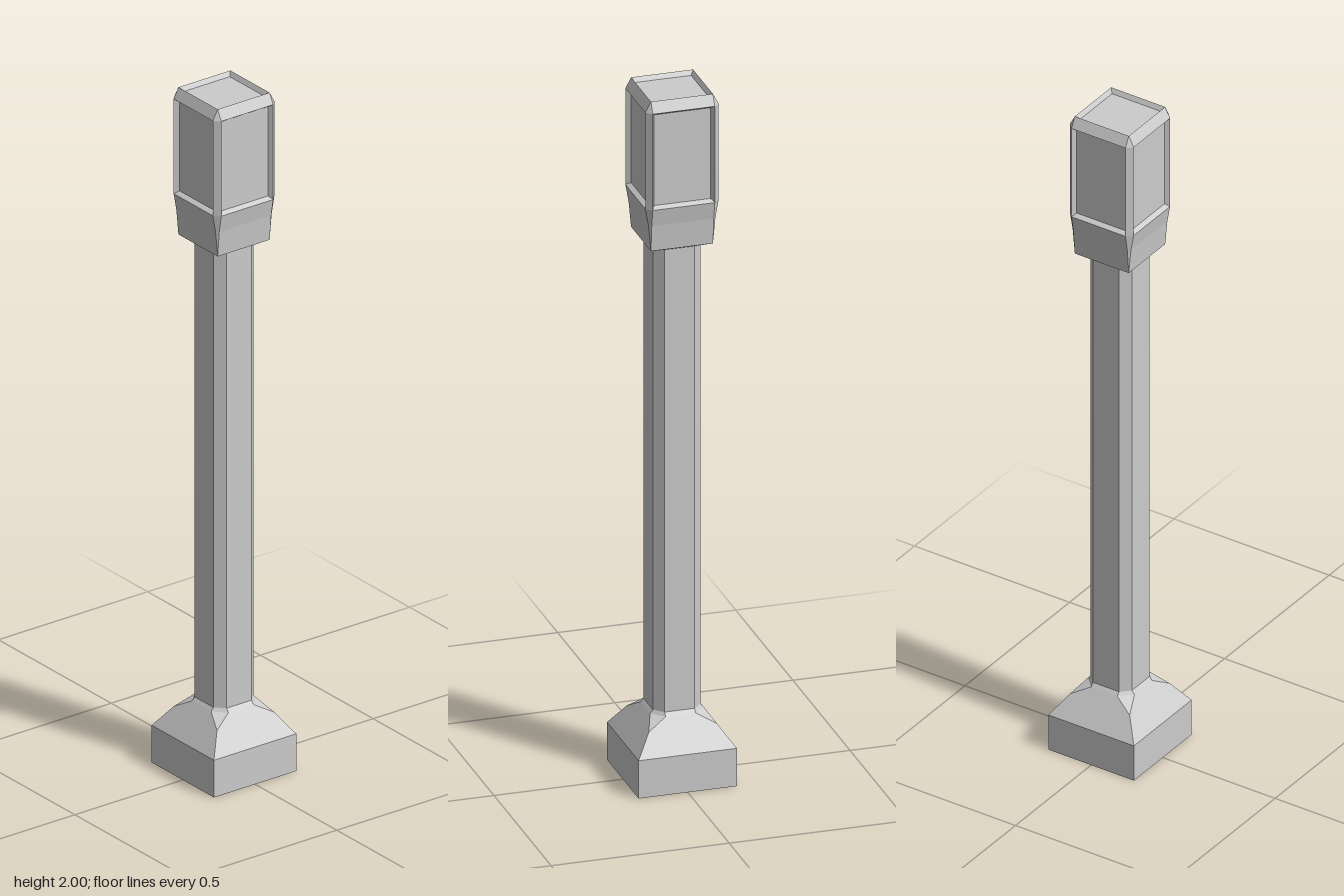
import * as THREE from 'three';

const material = new THREE.MeshStandardMaterial({ color: 0xcccccc, flatShading: true });

function meshFromQuads(name, quads) {
  const pos = [];
  const tri = (a, b, c) => {
    const t = new THREE.Triangle(a, b, c);
    if (t.getArea() > 1e-9) for (const p of [a, b, c]) pos.push(p.x, p.y, p.z);
  };
  for (const [a, b, c, d] of quads) { tri(a, b, c); tri(a, c, d); }
  const geo = new THREE.BufferGeometry();
  geo.setAttribute('position', new THREE.Float32BufferAttribute(pos, 3));
  geo.computeVertexNormals();
  const mesh = new THREE.Mesh(geo, material);
  mesh.name = name;
  return mesh;
}

// Square ring with chamfered corners: h = half width, f = half width of each flat side
function ring([h, f, y]) {
  return [[-f, h], [f, h], [h, f], [h, -f], [f, -h], [-f, -h], [-h, -f], [-h, f]]
    .map(([x, z]) => new THREE.Vector3(x, y, z));
}

// Skin between successive rings, optionally only on the chamfered corners
function loft(name, sections, { cornersOnly = false, bottom = false } = {}) {
  const rings = sections.map(ring), quads = [];
  for (let s = 0; s < rings.length - 1; s++) {
    const lo = rings[s], hi = rings[s + 1];
    for (let i = cornersOnly ? 1 : 0; i < 8; i += cornersOnly ? 2 : 1) {
      const j = (i + 1) % 8;
      quads.push([lo[i], lo[j], hi[j], hi[i]]);
    }
  }
  if (bottom) {
    const r = rings[0];
    quads.push([r[0], r[7], r[2], r[1]], [r[7], r[6], r[3], r[2]], [r[6], r[5], r[4], r[3]]);
  }
  return meshFromQuads(name, quads);
}

// Sunken panel facing +z, its rim at z = 0
function sunkenPanel(name, w, h, inset, depth) {
  const rect = (a, b, z) => [[-a, -b], [a, -b], [a, b], [-a, b]].map(([x, y]) => new THREE.Vector3(x, y, z));
  const rim = rect(w, h, 0), floor = rect(w - inset, h - inset, -depth);
  const quads = [floor];
  for (let i = 0; i < 4; i++) {
    const j = (i + 1) % 4;
    quads.push([rim[i], rim[j], floor[j], floor[i]]);
  }
  return meshFromQuads(name, quads);
}

export function createModel() {
  const model = new THREE.Group();
  model.name = 'post';

  // Square foot sloping up to the shaft
  model.add(loft('base', [
    [0.138, 0.138, 0], [0.138, 0.138, 0.11], [0.096, 0.096, 0.17], [0.075, 0.042, 0.2], [0.067, 0.042, 0.21],
  ], { bottom: true }));

  // Long chamfered shaft
  model.add(loft('shaft', [[0.067, 0.042, 0.21], [0.067, 0.042, 1.56]]));

  // Flared collar under the head
  model.add(loft('collar', [
    [0.067, 0.042, 1.555], [0.087, 0.087, 1.565], [0.094, 0.087, 1.64], [0.103, 0.087, 1.69],
  ]));

  // Head: corner posts, bevelled top and sunken panels
  const head = new THREE.Group();
  head.name = 'head';
  head.add(loft('cornerPosts', [[0.103, 0.087, 1.69], [0.103, 0.087, 1.97]], { cornersOnly: true }));
  head.add(loft('topBevel', [[0.103, 0.087, 1.97], [0.087, 0.087, 2]]));
  for (let i = 0; i < 4; i++) {
    const side = new THREE.Group();
    side.name = 'sidePanel' + (i + 1);
    const panel = sunkenPanel('panel', 0.087, 0.14, 0.008, 0.013);
    panel.position.set(0, 1.83, 0.103);
    side.add(panel);
    side.rotation.y = i * Math.PI / 2;
    head.add(side);
  }
  const topPanel = sunkenPanel('topPanel', 0.087, 0.087, 0.008, 0.013);
  topPanel.rotation.x = -Math.PI / 2;
  topPanel.position.y = 2;
  head.add(topPanel);
  model.add(head);

  return model;
}
